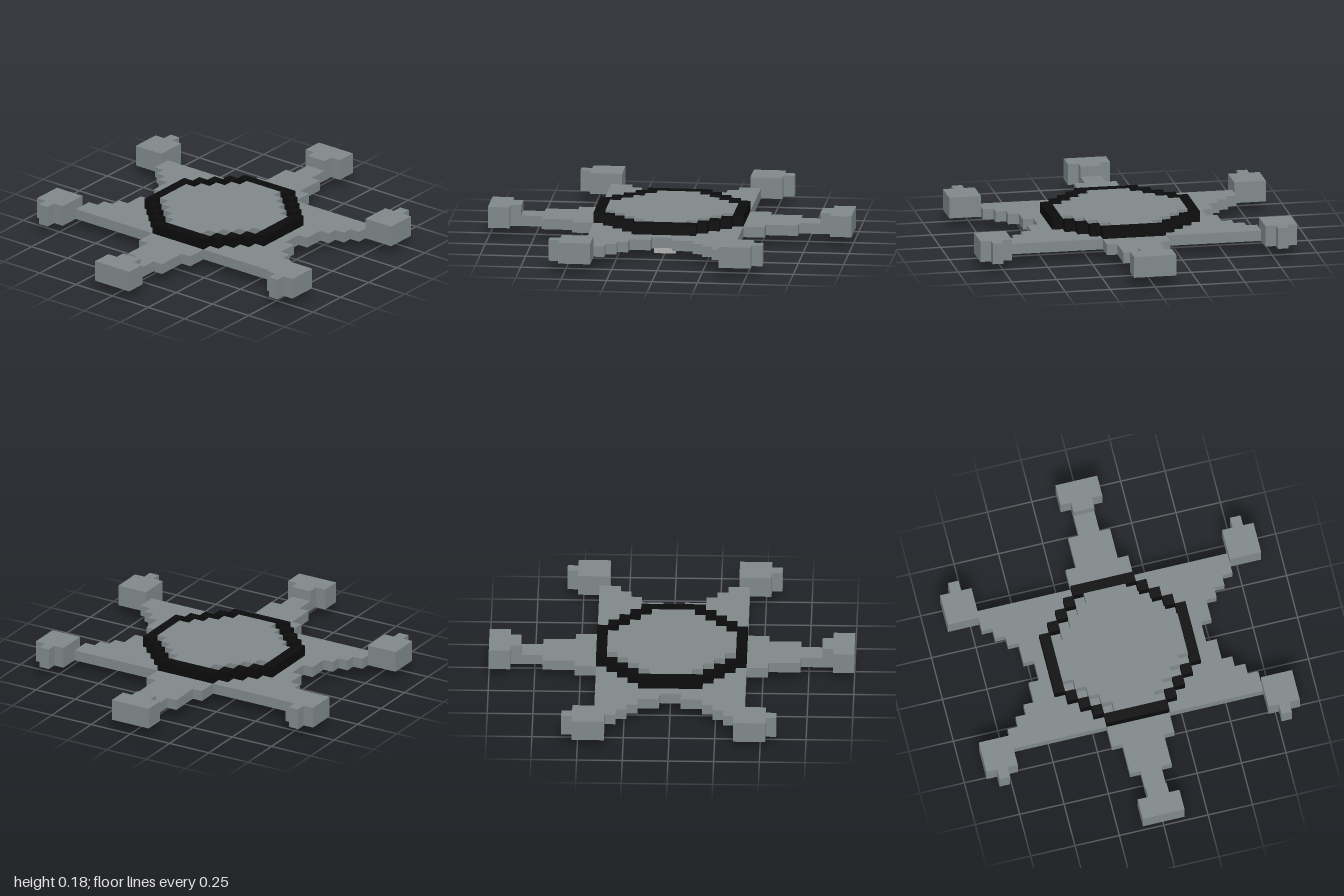
import * as THREE from 'three';
import { mergeGeometries } from 'three/addons/utils/BufferGeometryUtils.js';

const U = 2 / 34; // one block

// Blocks given for one quadrant as [x0, x1, z0, z1], mirrored to all four
function mirroredBlocks(rects, y0, y1) {
  const boxes = [];
  const add = (x0, x1, z0, z1) => {
    const box = new THREE.BoxGeometry((x1 - x0) * U, (y1 - y0) * U, (z1 - z0) * U);
    box.translate((x0 + x1) / 2 * U, (y0 + y1) / 2 * U, (z0 + z1) / 2 * U);
    boxes.push(box);
  };
  for (const [x0, x1, z0, z1] of rects) {
    // Blocks that start on an axis run straight across it
    const xs = x0 === 0 ? [[-x1, x1]] : [[x0, x1], [-x1, -x0]];
    const zs = z0 === 0 ? [[-z1, z1]] : [[z0, z1], [-z1, -z0]];
    for (const [xa, xb] of xs) for (const [za, zb] of zs) add(xa, xb, za, zb);
  }
  return mergeGeometries(boxes);
}

export function createModel() {
  const grey = new THREE.MeshStandardMaterial({ color: 0x7f888a });
  grey.name = 'steel grey';
  const black = new THREE.MeshStandardMaterial({ color: 0x0b0b0b });
  black.name = 'black';
  const light = new THREE.MeshStandardMaterial({ color: 0xb0b0b0 });
  light.name = 'light grey';

  const model = new THREE.Group();
  model.name = 'starBadge';
  const part = (name, material, y0, y1, rects) => {
    const mesh = new THREE.Mesh(mirroredBlocks(rects, y0, y1), material);
    mesh.name = name;
    model.add(mesh);
  };

  // Flat star around the ring: stepped side points, then the narrowing end arms
  part('starPlate', grey, 1, 2, [
    [7, 8, 0, 1], [7, 9, 1, 3], [6, 10, 3, 4], [5, 11, 4, 5], [4, 12, 5, 6], [3, 12, 6, 7],
    [0, 3, 7, 9], [0, 2, 9, 12], [0, 1, 12, 14],
  ]);

  // Raised tips on the two end arms and the four side points
  part('endTips', grey, 1, 3, [[0, 1, 14, 15], [0, 2, 15, 17]]);
  part('sideTips', grey, 1, 3, [[12, 15, 6, 9], [13, 14, 9, 10]]);

  // Octagonal ring passing through the plate
  part('ring', black, 1, 3, [
    [0, 3, 6, 7], [6, 7, 0, 3], [3, 4, 5, 6], [4, 5, 4, 5], [5, 6, 3, 4],
  ]);

  // Centre disc, with a smaller stepped top layer
  part('discBase', grey, 1, 2, [[0, 6, 0, 3], [0, 5, 3, 4], [0, 4, 4, 5], [0, 3, 5, 6]]);
  part('discTop', grey, 2, 3, [
    [0, 6, 0, 2], [0, 5, 2, 3], [0, 4, 3, 4], [0, 3, 4, 5], [0, 2, 5, 6],
  ]);

  // Pin bar underneath
  part('pinBar', light, 0, 1, [[0, 6, 0, 1]]);

  return model;
}
